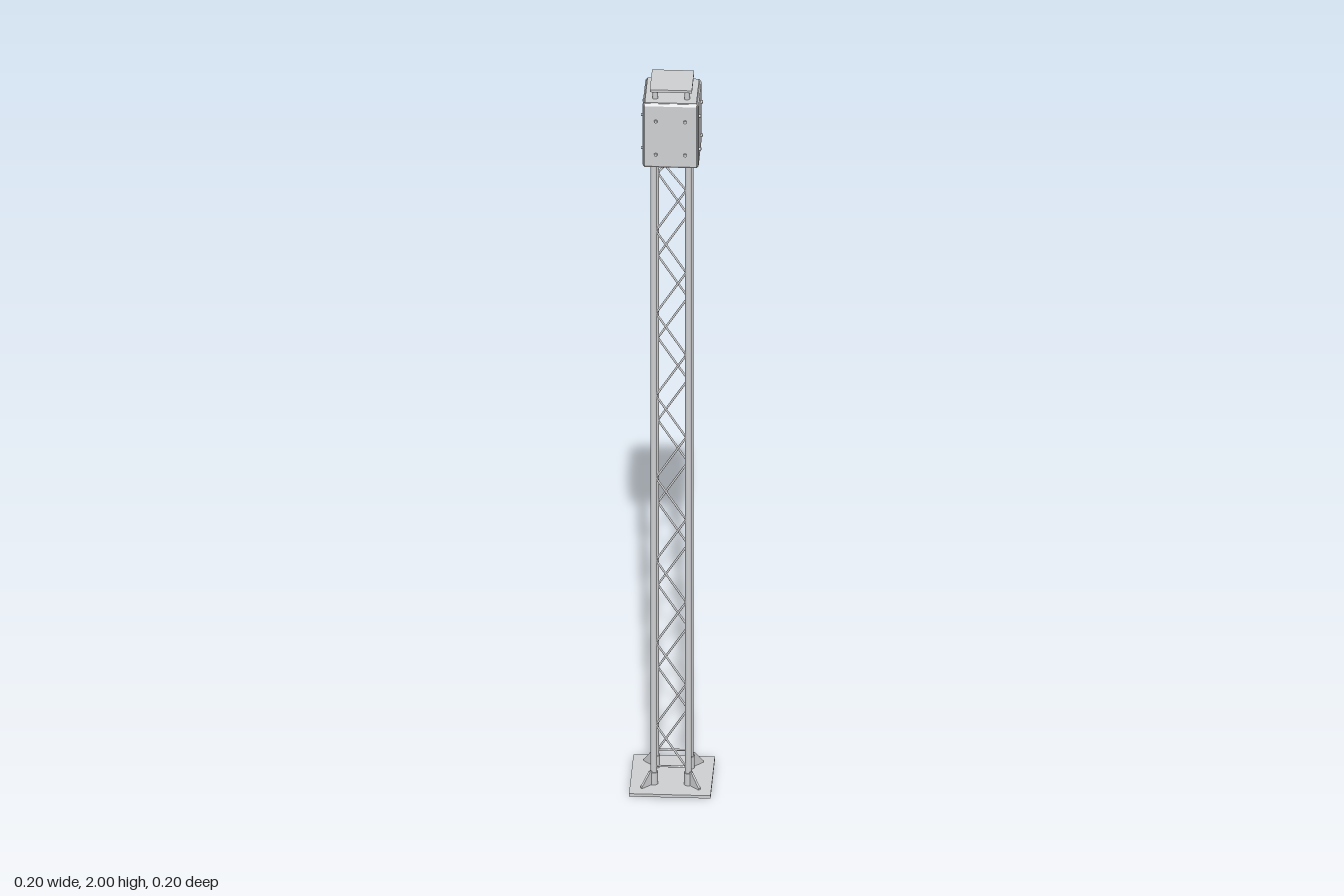
import * as THREE from 'three';

export function createModel() {
  const tower = new THREE.Group();
  tower.name = 'latticeTower';
  const steel = new THREE.MeshStandardMaterial({ color: 0xcfd0d2 });
  steel.name = 'galvanised steel grey';

  function add(parent, name, geometry, x = 0, y = 0, z = 0) {
    const mesh = new THREE.Mesh(geometry, steel);
    mesh.name = name;
    mesh.position.set(x, y, z);
    parent.add(mesh);
    return mesh;
  }
  const box = (w, h, d) => new THREE.BoxGeometry(w, h, d);
  const UP = new THREE.Vector3(0, 1, 0);

  // Flat polygon given thickness, centred on its own plane
  function plate(points, depth) {
    const shape = new THREE.Shape(points.map(([x, y]) => new THREE.Vector2(x, y)));
    const geometry = new THREE.ExtrudeGeometry(shape, { depth, bevelEnabled: false });
    return geometry.translate(0, 0, -depth / 2);
  }

  // Round bar between two points
  function bar(parent, name, a, b, radius) {
    const dir = b.clone().sub(a);
    const mesh = add(parent, name, new THREE.CylinderGeometry(radius, radius, dir.length(), 8));
    mesh.position.copy(a).add(b).multiplyScalar(0.5);
    mesh.quaternion.setFromUnitVectors(UP, dir.normalize());
  }

  // Ground plate
  add(tower, 'basePlate', box(0.205, 0.008, 0.205), 0, 0.004, 0);

  // Corner posts with foot sleeves and diagonal gussets
  const P = 0.0435;
  const gusset = plate([[0, 0], [0.042, 0], [0.042, 0.004], [0.014, 0.038], [0, 0.038]], 0.006);
  const post = new THREE.CylinderGeometry(0.0085, 0.0085, 1.79, 16);
  const sleeve = new THREE.CylinderGeometry(0.011, 0.011, 0.034, 16);
  for (let i = 0; i < 4; i++) {
    const corner = new THREE.Group();
    corner.name = 'cornerPost';
    corner.rotation.y = i * Math.PI / 2;
    add(corner, 'post', post, P, 0.902, P);
    add(corner, 'footSleeve', sleeve, P, 0.025, P);
    add(corner, 'footGusset', gusset, P, 0.008, P).rotation.y = -Math.PI / 4;
    tower.add(corner);
  }

  // Zigzag bracing, mirrored on neighbouring sides so it meets at the posts
  const start = 0.057, step = 0.118, reach = 0.038;
  for (let side = 0; side < 4; side++) {
    const lattice = new THREE.Group();
    lattice.name = 'latticeSide';
    lattice.rotation.y = side * Math.PI / 2;
    const sign = side % 2 ? -1 : 1;
    const node = k => new THREE.Vector3(
      (k % 2 ? -1 : 1) * sign * reach, Math.min(start + k * step, 1.81), P);
    for (let k = 0; k < 15; k++) bar(lattice, 'diagonalBrace', node(k), node(k + 1), 0.0027);
    bar(lattice, 'bottomBrace', new THREE.Vector3(-reach, start, P),
      new THREE.Vector3(reach, start, P), 0.0027);
    tower.add(lattice);
  }

  // Head cabinet
  const head = new THREE.Group();
  head.name = 'head';
  add(head, 'cabinet', box(0.13, 0.182, 0.13), 0, 1.879, 0);
  const bolt = new THREE.CylinderGeometry(0.0045, 0.0045, 0.006, 6);
  bolt.rotateX(Math.PI / 2);
  // Panel section, chamfered along its top and bottom edges
  const panel = plate([[0, -0.091], [0.002, -0.091], [0.006, -0.085],
    [0.006, 0.085], [0.002, 0.091], [0, 0.091]], 0.13);
  panel.rotateY(-Math.PI / 2);
  for (let i = 0; i < 4; i++) {
    const face = new THREE.Group();
    face.name = 'cabinetSide';
    face.rotation.y = i * Math.PI / 2;
    add(face, 'coverPanel', panel, 0, 1.877, 0.0645);
    const edge = add(face, 'cornerStrip', box(0.004, 0.172, 0.006), 0.066, 1.877, 0.066);
    edge.rotation.y = Math.PI / 4;
    for (const x of [-0.037, 0.037])
      for (const y of [1.825, 1.92]) add(face, 'bolt', bolt, x, y, 0.0725);
    head.add(face);
  }

  // Raised top plate on four standoffs
  const standoff = new THREE.CylinderGeometry(0.007, 0.007, 0.026, 12);
  for (const x of [-0.04, 0.04])
    for (const z of [-0.04, 0.04]) add(head, 'standoff', standoff, x, 1.981, z);
  add(head, 'topPlate', box(0.106, 0.007, 0.106), 0, 1.9965, 0);
  tower.add(head);

  return tower;
}
